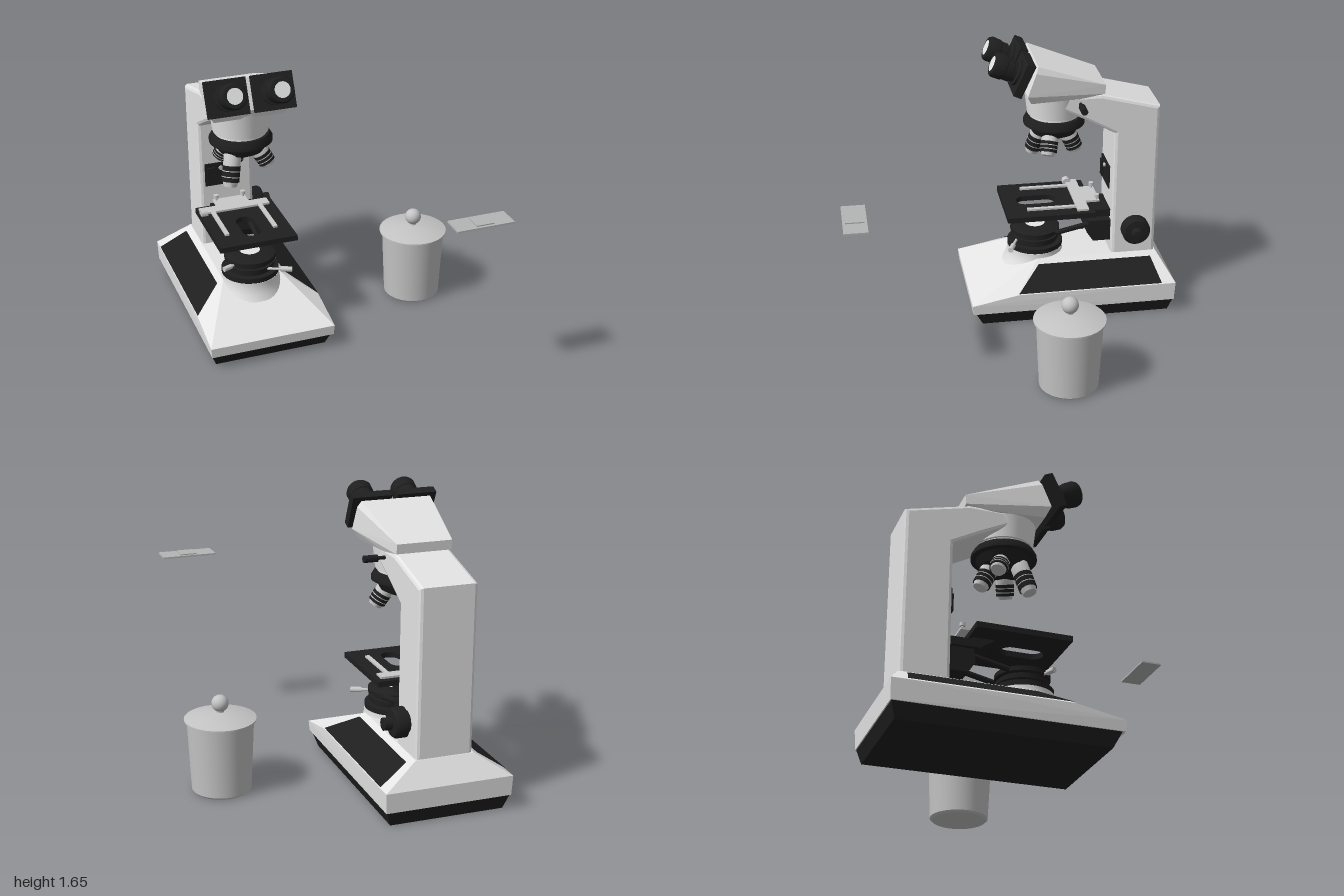
import * as THREE from 'three';
import { toCreasedNormals } from 'three/addons/utils/BufferGeometryUtils.js';
import { ConvexGeometry } from 'three/addons/geometries/ConvexGeometry.js';

const mat = (name, color, side = THREE.FrontSide) =>
  Object.assign(new THREE.MeshStandardMaterial({ color, side }), { name });
const V = (x, y, z) => new THREE.Vector3(x, y, z);

export function createModel() {
  const white = mat('white enamel', 0xe4e4e4);
  const black = mat('black', 0x1f1f1f, THREE.DoubleSide);
  const silver = mat('silver', 0xc9c9c9);
  const lens = mat('lens', 0xf2f4f4);
  const jarGrey = mat('jar grey', 0xc4c4c4, THREE.DoubleSide);
  const glass = mat('slide glass', 0xb4b6b6);

  const model = new THREE.Group();
  model.name = 'microscopeSet';
  const scope = new THREE.Group();
  scope.name = 'microscope';
  scope.position.x = -0.44;
  model.add(scope);

  const add = (parent, name, geo, m, x = 0, y = 0, z = 0) => {
    const mesh = new THREE.Mesh(geo, m);
    mesh.name = name;
    mesh.position.set(x, y, z);
    parent.add(mesh);
    return mesh;
  };
  const box = (name, m, w, h, d, x, y, z, parent = scope) =>
    add(parent, name, new THREE.BoxGeometry(w, h, d), m, x, y, z);
  // Turned part from [radius, height] pairs, bottom to top
  const lathe = (pts, seg = 40) => toCreasedNormals(
    new THREE.LatheGeometry(pts.map(p => new THREE.Vector2(...p)), seg), 0.6);
  // Mirrored convex block from [halfWidth, y, z] corners
  const hull = pts => new ConvexGeometry(pts.flatMap(([x, y, z]) => [V(x, y, z), V(-x, y, z)]));
  // Turned part whose axis runs from a towards b
  const aim = (mesh, a, b) => {
    mesh.position.copy(a);
    mesh.quaternion.setFromUnitVectors(V(0, 1, 0), b.clone().sub(a).normalize());
    return mesh;
  };
  const rod = (name, m, r, a, b) => {
    const len = a.distanceTo(b);
    return aim(add(scope, name, lathe([[0, 0], [r, 0], [r, len], [0, len]], 20), m), a, b);
  };

  // Base with sloping shoulders, on a tapered foot
  add(scope, 'foot', hull([[0.33, 0, 0.18], [0.33, 0, -0.96], [0.36, 0.09, 0.225], [0.36, 0.09, -0.985]]), black);
  add(scope, 'base', hull([
    [0.365, 0.085, 0.24], [0.365, 0.085, -0.99], [0.37, 0.145, 0.245], [0.37, 0.2, -0.03],
    [0.37, 0.2, -0.995], [0.17, 0.33, -0.18], [0.17, 0.33, -0.91]]), white);
  for (const s of [-1, 1]) {
    const g = new THREE.BufferGeometry();
    const p = [[0.369, 0.206, -0.035], [0.369, 0.206, -0.91], [0.207, 0.311, -0.87], [0.207, 0.311, -0.18]];
    g.setAttribute('position', new THREE.Float32BufferAttribute(
      (s > 0 ? [0, 1, 2, 0, 2, 3] : [0, 2, 1, 0, 3, 2]).flatMap(i => [p[i][0] * s, p[i][1], p[i][2]]), 3));
    g.computeVertexNormals();
    add(scope, 'sidePanel', g, black);
  }

  // Column and arm in one profile (z, y)
  const arm = new THREE.Shape([[-0.905, 0.31], [-0.635, 0.31], [-0.635, 1.12], [-0.47, 1.21], [-0.27, 1.31],
    [-0.31, 1.37], [-0.55, 1.37], [-0.905, 1.28]].map(p => new THREE.Vector2(...p)));
  const armGeo = new THREE.ExtrudeGeometry(arm, {
    depth: 0.29, bevelThickness: 0.02, bevelSize: 0.02, bevelOffset: -0.02, bevelSegments: 2 });
  armGeo.translate(0, 0, -0.145).rotateY(-Math.PI / 2);
  add(scope, 'column', armGeo, white);

  // Switch plate on the column
  box('switchPlate', black, 0.205, 0.145, 0.012, -0.03, 0.793, -0.633);
  box('rockerSwitch', black, 0.05, 0.1, 0.02, -0.095, 0.79, -0.625);
  rod('powerLight', silver, 0.013, V(-0.035, 0.832, -0.63), V(-0.035, 0.832, -0.618));

  // Focus knob
  const focus = lathe([[0, 0], [0.06, 0], [0.06, 0.02], [0.085, 0.02], [0.085, 0.075], [0.075, 0.09],
    [0.035, 0.095], [0.035, 0.14], [0, 0.145]]);
  aim(add(scope, 'focusKnob', focus, black), V(0.165, 0.503, -0.77), V(1, 0.503, -0.77));

  // Head drum and revolving nosepiece
  add(scope, 'headDrum', lathe([[0, 1.2], [0.148, 1.2], [0.148, 1.22], [0.16, 1.222], [0.178, 1.37], [0, 1.37]]),
    white, 0, 0, -0.3);
  add(scope, 'nosepiece', lathe([[0, 1.07], [0.08, 1.075], [0.13, 1.1], [0.155, 1.15], [0.182, 1.155],
    [0.182, 1.175], [0.165, 1.205], [0, 1.205]]), black, 0, 0, -0.3);

  // Objectives: silver collar, dark barrel with rings, bright tip
  const objective = (a, b) => {
    const L = a.distanceTo(b), g = new THREE.Group();
    g.name = 'objective';
    scope.add(g);
    aim(g, a, b);
    add(g, 'collar', lathe([[0.04, -0.03], [0.05, 0], [0.05, L * 0.35], [0, L * 0.35]], 24), silver);
    add(g, 'barrel', lathe([[0, L * 0.35], [0.052, L * 0.35], [0.05, L * 0.85], [0, L * 0.85]], 24), black);
    for (const t of [0.5, 0.68])
      add(g, 'barrelRing', lathe([[0.0525, L * t], [0.0525, L * t + 0.005]], 24), silver);
    add(g, 'tip', lathe([[0, L * 0.85], [0.044, L * 0.85], [0.038, L], [0, L]], 24), silver);
  };
  objective(V(-0.07, 1.1, -0.235), V(-0.105, 0.925, -0.185));
  objective(V(0.085, 1.11, -0.265), V(0.145, 1.0, -0.24));
  objective(V(0.0, 1.1, -0.375), V(0.0, 0.965, -0.435));
  objective(V(-0.08, 1.11, -0.34), V(-0.11, 1.03, -0.37));

  // Head clamp screw
  rod('clampShaft', black, 0.01, V(0.15, 1.322, -0.425), V(0.22, 1.322, -0.425));
  rod('clampHandle', black, 0.02, V(0.21, 1.322, -0.425), V(0.29, 1.322, -0.425));

  // Prism housing
  add(scope, 'prismHousing', hull([
    [0.16, 1.375, -0.57], [0.16, 1.43, -0.575], [0.205, 1.58, -0.17], [0.225, 1.545, -0.155],
    [0.235, 1.41, -0.105], [0.2, 1.355, -0.13], [0.17, 1.355, -0.42]]), white);

  // Eyepieces on tilted plates; local +z is the viewing axis
  for (const s of [-1, 1]) {
    const eye = new THREE.Group();
    eye.name = 'eyepiece';
    eye.position.set(s * 0.133 - 0.003, 1.512, -0.085);
    eye.rotation.x = -0.43;
    scope.add(eye);
    box('eyepiecePlate', black, 0.232, 0.205, 0.05, 0, 0, 0, eye);
    add(eye, 'eyeTube', lathe([[0.075, 0.02], [0.075, 0.04], [0.058, 0.045], [0.058, 0.065], [0.066, 0.07],
      [0.066, 0.11], [0.072, 0.115], [0.074, 0.165], [0.066, 0.182], [0.045, 0.184], [0, 0.18]])
      .rotateX(Math.PI / 2), black);
    add(eye, 'eyeLens', new THREE.CircleGeometry(0.045, 32), lens, 0, 0, 0.186);
  }

  // Stage with a rounded light slot (shape y is -z)
  const stage = new THREE.Shape([[-0.23, 0], [0.23, 0], [0.23, 0.53], [-0.23, 0.53]]
    .map(p => new THREE.Vector2(...p)));
  const slot = new THREE.Path();
  slot.absarc(0, 0.14, 0.055, Math.PI, 2 * Math.PI);
  slot.absarc(0, 0.27, 0.055, 0, Math.PI);
  slot.closePath();
  stage.holes.push(slot);
  const stageGeo = new THREE.ExtrudeGeometry(stage, { depth: 0.032, bevelEnabled: false, curveSegments: 16 });
  add(scope, 'stage', stageGeo.rotateX(-Math.PI / 2), black, 0, 0.613, 0.01);

  // Slide holder with two thumb screws
  box('holderBar', silver, 0.42, 0.012, 0.07, -0.01, 0.652, -0.45);
  box('holderArm', silver, 0.025, 0.012, 0.3, -0.15, 0.652, -0.27);
  box('holderArm', silver, 0.025, 0.012, 0.3, 0.14, 0.652, -0.27);
  box('holderTail', silver, 0.2, 0.012, 0.1, -0.01, 0.652, -0.52);
  rod('holderKnob', silver, 0.025, V(-0.225, 0.655, -0.42), V(-0.185, 0.655, -0.42));
  for (const x of [-0.09, 0.075]) {
    add(scope, 'thumbScrew', lathe([[0.007, 0.65], [0.007, 0.67], [0.015, 0.672], [0.015, 0.692], [0, 0.692]], 16),
      silver, x, 0, -0.555);
  }

  // Stage bracket and condenser carrier
  add(scope, 'stageBracket', hull([[0.11, 0.61, -0.38], [0.11, 0.61, -0.5], [0.11, 0.555, -0.46], [0.11, 0.555, -0.5]]), black);
  box('bracketBlock', black, 0.22, 0.045, 0.18, 0, 0.577, -0.56);
  add(scope, 'carrierBlock', hull([[0.125, 0.535, -0.5], [0.125, 0.535, -0.64], [0.125, 0.4, -0.64],
    [0.125, 0.4, -0.53], [0.125, 0.46, -0.49]]), black);
  for (const s of [-1, 1])
    rod('carrierArm', black, 0.016, V(s * 0.1, 0.505, -0.5), V(s * 0.1, 0.46, -0.3));

  // Illuminator pedestal and stacked rings
  add(scope, 'pedestal', lathe([[0.2, 0.25], [0.18, 0.29], [0.17, 0.33], [0.17, 0.358], [0, 0.358]]), white, 0, 0, -0.19);
  add(scope, 'illuminator', lathe([[0.168, 0.355], [0.168, 0.388], [0.135, 0.39], [0.135, 0.405], [0.145, 0.41],
    [0.145, 0.43], [0.13, 0.432], [0.13, 0.445], [0.15, 0.45], [0.15, 0.475], [0.12, 0.485], [0.09, 0.49], [0, 0.485]]),
    black, 0, 0, -0.19);
  add(scope, 'illuminatorLens', new THREE.CircleGeometry(0.06, 32).rotateX(-Math.PI / 2), lens, 0, 0.493, -0.19);
  rod('centringScrew', silver, 0.008, V(0.06, 0.417, -0.07), V(0.15, 0.417, -0.03));
  rod('centringScrewHead', silver, 0.016, V(0.14, 0.417, -0.035), V(0.2, 0.417, -0.01));
  rod('centringScrew', silver, 0.008, V(-0.1, 0.455, -0.12), V(-0.16, 0.455, -0.09));
  rod('centringScrewHead', silver, 0.015, V(-0.14, 0.455, -0.1), V(-0.19, 0.455, -0.08));

  // Lidded jar
  const jar = new THREE.Group();
  jar.name = 'jar';
  jar.position.set(0.605, 0, -0.207);
  model.add(jar);
  add(jar, 'jarBody', lathe([[0, 0], [0.155, 0], [0.168, 0.012], [0.187, 0.418]], 56), jarGrey);
  add(jar, 'jarLid', lathe([[0.18, 0.415], [0.202, 0.418], [0.202, 0.426], [0.18, 0.432], [0.12, 0.448],
    [0.06, 0.456], [0.02, 0.46], [0.02, 0.48]], 56), jarGrey);
  add(jar, 'lidKnob', new THREE.SphereGeometry(0.048, 28, 18), jarGrey, 0, 0.512, 0);

  // Specimen slide with cover glass
  box('slide', glass, 0.325, 0.01, 0.13, 0.483, 1.063, 0.932, model);
  box('coverGlass', glass, 0.1, 0.007, 0.1, 0.485, 1.071, 0.932, model);

  return model;
}
